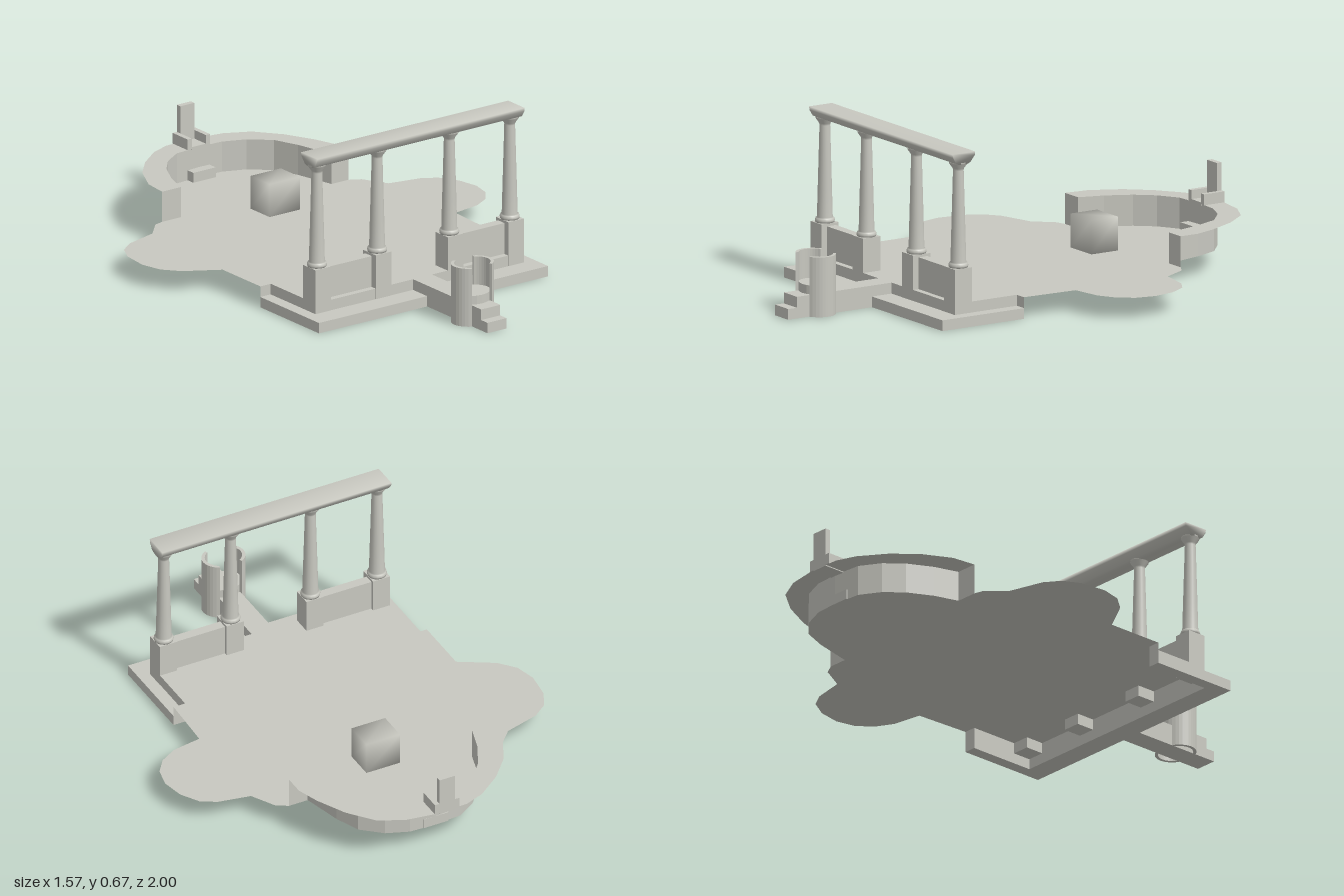
import * as THREE from 'three';
import { mergeVertices } from 'three/addons/utils/BufferGeometryUtils.js';

const stone = new THREE.MeshStandardMaterial({ color: 0xc8c8c0, side: THREE.DoubleSide });
stone.name = 'pale stone';

// Outlines are [x, z] points on the ground plane
const outline = pts => new THREE.Shape(pts.map(([x, z]) => new THREE.Vector2(x, -z)));
const sheet = (pts, y) => new THREE.ShapeGeometry(outline(pts)).rotateX(-Math.PI / 2).translate(0, y, 0);
const slab = (pts, y0, y1) => new THREE.ExtrudeGeometry(outline(pts), { depth: y1 - y0, bevelEnabled: false })
  .rotateX(-Math.PI / 2).translate(0, y0, 0);

// Shared corners give soft shading
function soften(g) {
  g.deleteAttribute('normal');
  g.deleteAttribute('uv');
  const m = mergeVertices(g);
  m.computeVertexNormals();
  return m;
}

// Vertical faces along a path of [x, z] points
function fence(pts, y0, y1) {
  const pos = [];
  for (let i = 0; i < pts.length - 1; i++) {
    const [[a, b], [c, d]] = [pts[i], pts[i + 1]];
    pos.push(a, y0, b, c, y0, d, c, y1, d, a, y0, b, c, y1, d, a, y1, b);
  }
  const g = new THREE.BufferGeometry();
  g.setAttribute('position', new THREE.Float32BufferAttribute(pos, 3));
  g.computeVertexNormals();
  return g;
}

export function createModel() {
  const model = new THREE.Group();
  model.name = 'garden terrace';
  const add = (name, geometry) => {
    const m = new THREE.Mesh(geometry, stone);
    m.name = name;
    model.add(m);
    return m;
  };
  const box = (name, x0, x1, y0, y1, z0, z1) => add(name,
    new THREE.BoxGeometry(x1 - x0, y1 - y0, z1 - z0).translate((x0 + x1) / 2, (y0 + y1) / 2, (z0 + z1) / 2));

  const FLOOR = 0.085, WALL = 0.207;

  // Curved rear wall: inner and outer edges, left end to right end
  const inner = [[-0.34, -0.58], [-0.31, -0.68], [-0.26, -0.78], [-0.2, -0.85], [-0.12, -0.9], [0, -0.91],
    [0.1, -0.905], [0.19, -0.87], [0.27, -0.8], [0.31, -0.7], [0.35, -0.54]];
  const outer = [[-0.43, -0.58], [-0.42, -0.68], [-0.36, -0.8], [-0.28, -0.89], [-0.18, -0.965], [-0.1, -0.995],
    [0.03, -1], [0.16, -0.98], [0.26, -0.93], [0.34, -0.83], [0.4, -0.71], [0.43, -0.62], [0.43, -0.54]];
  add('rearWallTop', sheet([...inner, ...[...outer].reverse()], WALL));
  add('rearWallFace', fence([outer[0], ...inner, outer[outer.length - 1]], FLOOR, WALL));

  // Lobed terrace floor
  add('terraceFloor', sheet([
    ...inner, [0.43, -0.54], [0.475, -0.515], [0.53, -0.415], [0.66, -0.39], [0.72, -0.355], [0.765, -0.28],
    [0.782, -0.19], [0.765, -0.11], [0.72, -0.05], [0.65, -0.01], [0.53, 0.01], [0.52, 0.24], [0.47, 0.24],
    [0.47, 0.525], [-0.525, 0.525], [-0.525, 0.24], [-0.575, 0.24], [-0.575, 0], [-0.71, -0.08], [-0.765, -0.145],
    [-0.787, -0.23], [-0.775, -0.34], [-0.74, -0.41], [-0.68, -0.455], [-0.54, -0.495], [-0.47, -0.57],
    [-0.43, -0.58]], FLOOR));

  // Lower step around the front, with the riser behind it
  add('lowerStep', slab([[-0.575, 0.24], [-0.575, 0.615], [0.52, 0.615], [0.52, 0.24], [0.47, 0.24],
    [0.47, 0.525], [-0.525, 0.525], [-0.525, 0.24]], 0, 0.042));
  add('stepRiser', fence([[-0.575, 0.24], [-0.525, 0.24], [-0.525, 0.525], [0.47, 0.525], [0.47, 0.24],
    [0.52, 0.24]], 0.04, FLOOR));

  // Entrance path and its first step
  box('entrancePath', -0.058, 0.033, 0, FLOOR, 0.525, 0.96);
  box('entranceStep', -0.058, 0.033, 0, 0.042, 0.96, 1);

  // Pair of curved gate walls around a raised threshold
  const gx = -0.0125, gz = 0.843;
  const arc = (rx, rz, a, b, n = 12) => Array.from({ length: n + 1 }, (_, i) => {
    const t = a + (b - a) * i / n;
    return [gx + rx * Math.cos(t), gz + rz * Math.sin(t)];
  });
  for (const [name, mid] of [['gateWallLeft', 0], ['gateWallRight', Math.PI]]) {
    add(name, slab([...arc(0.0875, 0.073, mid - 1, mid + 1), ...arc(0.074, 0.062, mid + 0.95, mid - 0.95)], 0, 0.235));
  }
  add('gateThreshold', slab(arc(0.074, 0.062, 0, Math.PI * 2, 20).slice(0, -1), FLOOR, 0.12));

  // Colonnade: pedestal, base ring, tapered shaft and flared capital
  const cz = 0.485;
  const profile = [[0, 0.22], [0.037, 0.22], [0.039, 0.228], [0.036, 0.237], [0.031, 0.24], [0.028, 0.35],
    [0.021, 0.6], [0.022, 0.608], [0.036, 0.628], [0.036, 0.634]].map(p => new THREE.Vector2(...p));
  for (const x of [-0.488, -0.2, 0.145, 0.434]) {
    box('pedestal', x - 0.037, x + 0.037, 0.042, 0.22, 0.446, 0.526);
    add('column', new THREE.LatheGeometry(profile, 16)).position.set(x, 0, cz);
  }

  // Recessed balustrade panels
  for (const [a, b] of [[-0.451, -0.237], [0.182, 0.397]]) box('balustradePanel', a, b, FLOOR, 0.21, 0.46, 0.5);

  // Beam across the columns
  const section = new THREE.Shape([[-0.43, 0.672], [-0.432, 0.658], [-0.452, 0.634], [-0.465, 0.628],
    [-0.505, 0.628], [-0.518, 0.634], [-0.533, 0.658], [-0.535, 0.672]].map(p => new THREE.Vector2(...p)));
  add('beam', soften(new THREE.ExtrudeGeometry(section, { depth: 0.99, bevelEnabled: false })
    .rotateY(Math.PI / 2).translate(-0.522, 0, 0)));

  // Soft-shaded block in the middle of the court
  add('courtBlock', soften(new THREE.BoxGeometry(0.145, 0.133, 0.122))).position.set(-0.002, 0.155, -0.43);

  // Rear seat with side arms, tall back and a low footstool
  box('seatArm', -0.065, -0.045, WALL, 0.25, -1, -0.905);
  box('seatArm', 0.022, 0.042, WALL, 0.25, -1, -0.905);
  box('seatBase', -0.045, 0.022, WALL - 0.004, 0.215, -1, -0.905);
  box('seatBack', -0.045, 0.022, WALL, 0.36, -1, -0.978);
  box('footstool', -0.065, 0.042, FLOOR, 0.125, -0.91, -0.868);

  return model;
}
